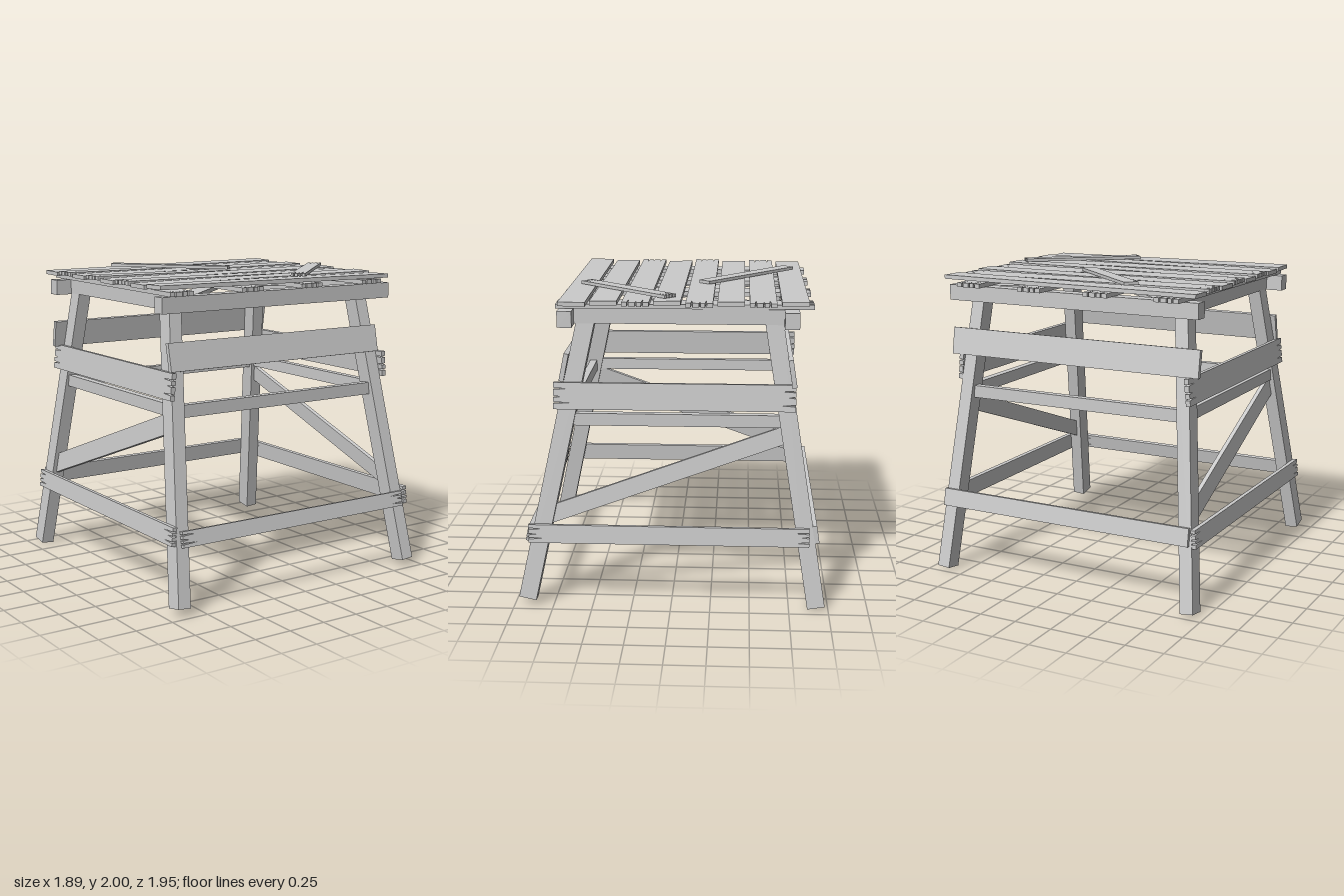
import * as THREE from 'three';

const material = new THREE.MeshStandardMaterial({ color: 0xcccccc, flatShading: true });
const V = (p) => new THREE.Vector3(...p);

// Outline of a board lying along x; split ends get narrow V-shaped cracks
function boardShape(length, width, splitStart, splitEnd) {
  const l = length / 2, w = width / 2;
  const cracks = [[-0.55, 0.09], [0.05, 0.05], [0.5, 0.1]];
  const pts = [];
  const end = (s, split) => {
    pts.push([s * l, -s * w]);
    if (split) {
      for (const [at, depth] of cracks) {
        const y = s * at * w;
        pts.push([s * l, y - s * 0.005], [s * (l - depth), y], [s * l, y + s * 0.005]);
      }
    }
    pts.push([s * l, s * w]);
  };
  end(1, splitEnd);
  end(-1, splitStart);
  return new THREE.Shape(pts.map(([x, y]) => new THREE.Vector2(x, y)));
}

// Straight timber from a to b; n is the direction its broad face looks
function timber(group, name, a, b, n, width, thickness, splitStart = false, splitEnd = splitStart) {
  const from = V(a), to = V(b);
  const along = to.clone().sub(from);
  const length = along.length();
  along.normalize();
  const face = V(n).addScaledVector(along, -V(n).dot(along)).normalize();
  const across = face.clone().cross(along);
  const geometry = new THREE.ExtrudeGeometry(boardShape(length, width, splitStart, splitEnd),
    { depth: thickness, bevelEnabled: false });
  geometry.translate(0, 0, -thickness / 2);
  const mesh = new THREE.Mesh(geometry, material);
  mesh.name = name;
  mesh.quaternion.setFromRotationMatrix(new THREE.Matrix4().makeBasis(along, across, face));
  mesh.position.copy(from.add(to).multiplyScalar(0.5));
  group.add(mesh);
}

// Centre of a leg at height y; the legs lean in unevenly
const legX = (side, y) => side * 0.9 - (side > 0 ? 0.15 : -0.19) * y / 1.82;
const legZ = (end, y) => end * 0.925 - (end > 0 ? 0.395 : -0.295) * y / 1.82;

function createModel() {
  const model = new THREE.Group();
  model.name = 'woodenPlatform';
  const add = (...args) => timber(model, ...args);

  // Splayed legs
  for (const side of [-1, 1]) {
    for (const end of [-1, 1]) {
      const foot = end > 0 ? 0.042 : 0.014;
      add('leg', [legX(side, foot), foot, legZ(end, foot)],
        [legX(side, 1.88), 1.88, legZ(end, 1.88)], [0, 0, 1], 0.087, 0.112);
    }
  }

  // Square beams that carry the top
  add('frontBeam', [-0.865, 1.854, 0.645], [0.91, 1.854, 0.645], [0, 0, 1], 0.1, 0.09);
  add('backBeam', [-0.865, 1.854, -0.735], [0.91, 1.854, -0.735], [0, 0, 1], 0.1, 0.09);
  for (const side of [-1, 1]) {
    const x = legX(side, 1.86);
    add('sideBeam', [x, 1.858, 0.6], [x, 1.858, -0.69], [side, 0, 0], 0.095, 0.1);
  }

  // Flat crossed boards under the top
  add('underBrace', [-0.66, 1.885, 0.6], [0.7, 1.885, -0.66], [0, 1, 0], 0.11, 0.025);
  add('underBrace', [-0.66, 1.87, -0.68], [0.7, 1.87, 0.58], [0, 1, 0], 0.11, 0.025);

  // Joists, slightly crooked
  [[-0.695, -0.735], [-0.215, -0.215], [0.255, 0.245], [0.705, 0.745]].forEach(([back, front]) =>
    add('joist', [back, 1.92, -0.87], [front, 1.92, 0.71], [0, 1, 0], 0.165, 0.028, true));

  // Deck planks, each a little out of level
  for (let i = 0; i < 8; i++) {
    const z = -0.752 + i * 0.1932, tilt = [0.005, -0.004, 0.003, -0.006][i % 4];
    add('deckPlank', [-0.87, 1.954 - tilt, z], [0.91, 1.954 + tilt, z],
      [0, 1, tilt * 3], 0.165, 0.026, i === 1 || i === 3 || i === 5);
  }

  // Loose patch boards on the deck
  add('patchBoard', [-0.4, 1.988, -0.745], [0.206, 1.978, -0.183], [0, 1, 0], 0.092, 0.02);
  add('patchBoard', [0.225, 1.979, 0.585], [0.817, 1.987, 0.005], [0, 1, 0], 0.092, 0.02, true);

  // Upper boards nailed to the outside of the legs
  add('frontUpperBoard', [-0.81, 1.535, 0.668], [0.82, 1.535, 0.668], [0, 0.21, 1], 0.178, 0.03);
  add('backUpperBoard', [-0.865, 1.53, -0.745], [0.91, 1.53, -0.745], [0, 0.16, -1], 0.175, 0.03);
  add('rightUpperBoard', [-0.815, 1.365, 0.73], [-0.815, 1.365, -0.82], [-1, 0.1, 0], 0.168, 0.03, true);
  add('leftUpperBoard', [0.848, 1.365, 0.73], [0.848, 1.365, -0.77], [1, 0.08, 0], 0.168, 0.03, true);

  // Lower boards
  add('frontLowerBoard', [-0.87, 0.465, 0.903], [0.878, 0.465, 0.903], [0, 0.21, 1], 0.1, 0.03, true);
  add('backLowerBoard', [-0.88, 0.493, -0.912], [0.905, 0.498, -0.912], [0, 0.16, -1], 0.115, 0.03);
  add('rightLowerBoard', [-0.908, 0.482, 0.88], [-0.908, 0.482, -0.91], [-1, 0.1, 0], 0.118, 0.03, true);
  add('leftLowerBoard', [0.918, 0.482, 0.9], [0.918, 0.482, -0.87], [1, 0.08, 0], 0.118, 0.03, true);

  // Middle rails between the legs
  for (const s of [-1, 1]) {
    const z = legZ(s, 1.2), x = legX(s, 1.2);
    add('middleRail', [legX(-1, 1.2), 1.2, z], [legX(1, 1.2), 1.2, z], [0, 0, s], 0.08, 0.05);
    add('sideMiddleRail', [x, 1.208, legZ(1, 1.2)], [x, 1.208, legZ(-1, 1.2)], [s, 0, 0], 0.078, 0.05);
  }

  // Diagonal side braces, rising in opposite directions
  add('leftBrace', [0.855, 0.585, 0.78], [0.805, 1.125, -0.72], [1, 0.08, 0], 0.11, 0.03);
  add('rightBrace', [-0.775, 1.135, 0.66], [-0.84, 0.59, -0.82], [-1, 0.1, 0], 0.125, 0.03);

  return model;
}

export { createModel };
